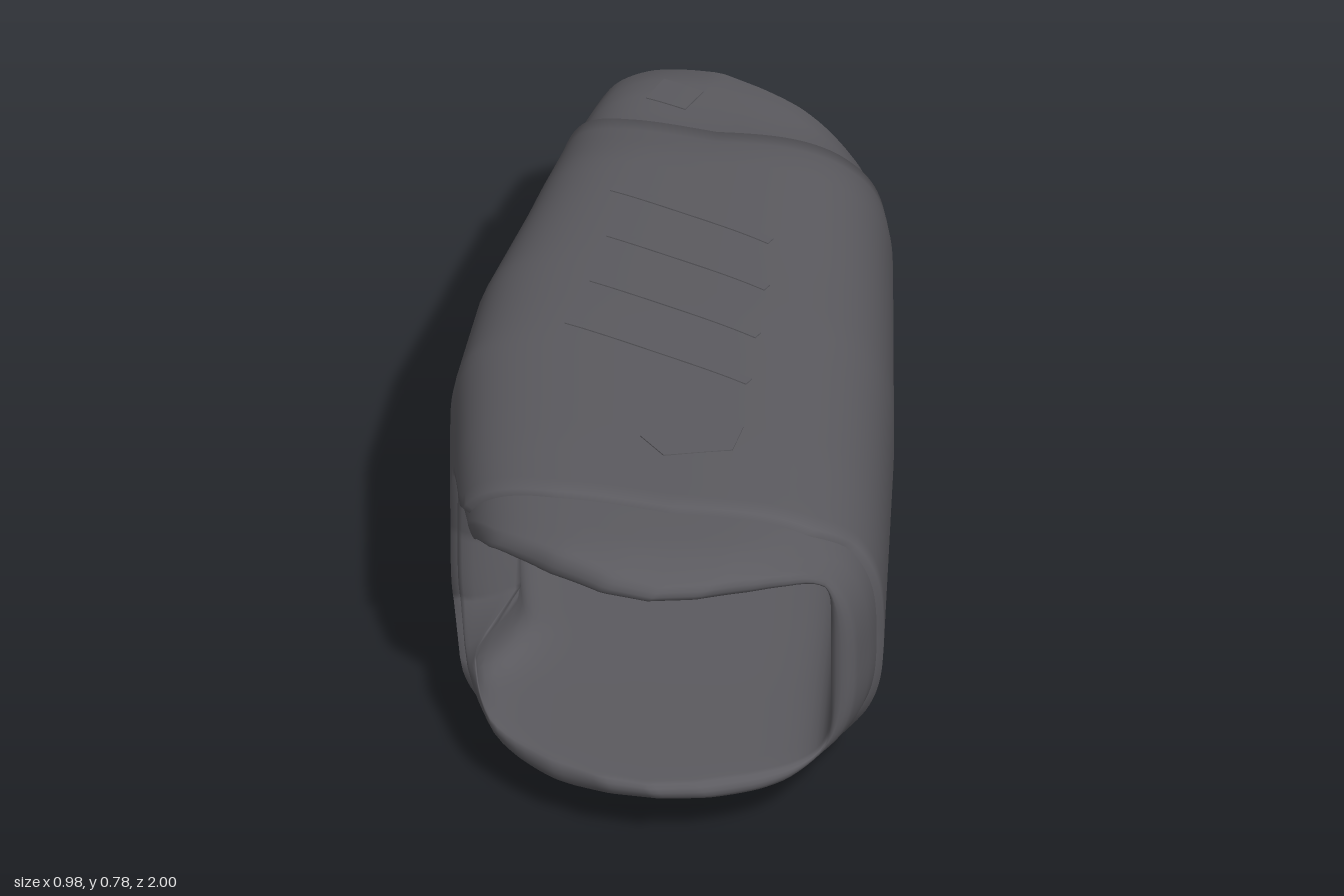
import * as THREE from 'three';

// linear interpolation in a table of [key, value] pairs
function look(table, k) {
  if (k <= table[0][0]) return table[0][1];
  for (let i = 1; i < table.length; i++) {
    const [k0, v0] = table[i - 1], [k1, v1] = table[i];
    if (k <= k1) return v0 + (v1 - v0) * (k - k0) / (k1 - k0);
  }
  return table[table.length - 1][1];
}

// bounds of the shell along z
const OUTER = {
  left: [[-1, -.21], [-.85, -.265], [-.8, -.275], [-.5, -.35], [-.2, -.435], [.1, -.475], [.4, -.46], [.64, -.44], [.8, -.425], [1, -.39]],
  right: [[-1, .35], [-.8, .395], [-.7, .42], [-.62, .435], [0, .465], [.7, .475], [.76, .475], [.8, .46], [.87, .43], [1, .41]],
  top: [[-1, .655], [-.95, .68], [-.75, .69], [-.6, .715], [0, .748], [.5, .768], [.75, .772], [.9, .772], [.96, .755], [1, .74]],
  bottom: [[-1, .05], [-.9, .03], [-.6, .019], [-.3, .04], [0, .06], [.4, .085], [.8, .11], [.92, .13], [1, .16]],
};
const INNER = {
  left: [[-.9, -.2], [-.3, -.31], [.1, -.35], [.42, -.32], [.5, -.35], [.62, -.41], [1, -.4]],
  right: [[-.8, .29], [-.4, .35], [0, .39], [.87, .38], [1, .36]],
  top: [[-1, .57], [-.8, .575], [0, .645], [.8, .70], [1, .70]],
  bottom: [[-1, .14], [-.8, .14], [-.2, .15], [.6, .18], [1, .2]],
};
// where the shell and its cover end, by angle from +x (same above and below);
// the left wall is cut back in front so that the lips overhang a notch
const FRONT = [[0, .87], [40, .87], [45, .89], [52, .925], [60, .955], [75, .99], [90, 1], [105, .975], [120, .91], [128, .85], [135, .79], [140, .73], [145, .68], [150, .64], [153, .44], [180, .42]];
const BACK = [[0, -.79], [40, -.79], [45, -.805], [52, -.835], [60, -.87], [75, -.92], [90, -.965], [105, -.99], [120, -1], [135, -.965], [145, -.9], [180, -.88]];
const COVER_FRONT = [[0, .735], [40, .74], [52, .77], [90, .755], [120, .7], [140, .635], [148, .61], [152, .41], [180, .39]];
const COVER_BACK = [[0, -.72], [45, -.68], [90, -.69], [120, -.75], [135, -.79], [180, -.82]];

const power = (t) => (t > 0 ? 3 : 4.2);

function box(b, z) {
  const l = look(b.left, z), r = look(b.right, z), t = look(b.top, z), d = look(b.bottom, z);
  return { cx: (l + r) / 2, hw: (r - l) / 2, cy: (t + d) / 2, hh: (t - d) / 2 };
}

// point of a rounded cross-section at angle a
function section(bounds, a, z, grow, n) {
  const { cx, hw, cy, hh } = box(bounds, z);
  const c = Math.cos(a), s = Math.sin(a), e = n || power(c);
  const r = Math.pow(Math.abs(c) ** e + Math.abs(s) ** e, -1 / e);
  return new THREE.Vector3(cx + (hw + grow) * r * c, cy + (hh + grow) * r * s, z);
}

// grid of points: rings around z, stepped along a path
function grid(around, along, closed, pointAt) {
  const pos = [], index = [];
  for (let j = 0; j < along; j++)
    for (let i = 0; i < around; i++) pos.push(...pointAt((i / around) * Math.PI * 2, j).toArray());
  for (let j = 0; j < (closed ? along : along - 1); j++)
    for (let i = 0; i < around; i++) {
      const i2 = (i + 1) % around, j2 = (j + 1) % along;
      const a = j * around + i, b = j * around + i2, c = j2 * around + i2, d = j2 * around + i;
      index.push(a, b, c, a, c, d);
    }
  const g = new THREE.BufferGeometry();
  g.setAttribute('position', new THREE.Float32BufferAttribute(pos, 3));
  g.setIndex(index);
  g.computeVertexNormals();
  return g;
}

const degrees = (a) => {
  const d = THREE.MathUtils.radToDeg(a);
  return d > 180 ? 360 - d : d;
};

// hollow shell with rounded rims at both open ends
function shellGeometry() {
  const N = 32, R = 6, rim = .022, path = [];
  for (let k = 0; k <= N; k++) path.push([0, k / N, 0]);
  for (let k = 1; k < R; k++) path.push([(1 - Math.cos(k / R * Math.PI)) / 2, 1, Math.sin(k / R * Math.PI)]);
  for (let k = N; k >= 0; k--) path.push([1, k / N, 0]);
  for (let k = 1; k < R; k++) path.push([(1 + Math.cos(k / R * Math.PI)) / 2, 0, -Math.sin(k / R * Math.PI)]);
  return grid(160, path.length, true, (a, j) => {
    const [s, v, bulge] = path[j], d = degrees(a);
    const z = THREE.MathUtils.lerp(look(BACK, d) + rim, look(FRONT, d) - rim, v) + bulge * rim;
    return section(OUTER, a, z, 0).lerp(section(INNER, a, z, 0, 8), s);
  });
}

// raised cover around the middle, its ends tucked into the shell
const PROUD = .015;
function coverGeometry() {
  const N = 32;
  return grid(160, N + 3, false, (a, j) => {
    const d = degrees(a), v = THREE.MathUtils.clamp((j - 1) / N, 0, 1);
    const end = j === 0 ? -.008 : j === N + 2 ? .008 : 0;
    const z = THREE.MathUtils.lerp(look(COVER_BACK, d), look(COVER_FRONT, d), v) + end;
    return section(OUTER, a, z, end ? -.01 : PROUD);
  });
}

// height of the outside at x, z on the top (side 1) or underside (side -1)
function surfaceY(x, z, side, grow) {
  const { cx, hw, cy, hh } = box(OUTER, z);
  const t = (x - cx) / (hw + grow), n = power(t);
  return cy + side * (hh + grow) * Math.pow(Math.max(0, 1 - Math.abs(t) ** n), 1 / n);
}

// lay a flat geometry (local y = height) on the outside
function drape(g, x, z, turn, side, grow) {
  g.rotateY(turn).translate(x, 0, z);
  const p = g.attributes.position;
  for (let i = 0; i < p.count; i++)
    p.setY(i, p.getY(i) + surfaceY(p.getX(i), p.getZ(i), side, grow));
  g.computeVertexNormals();
  return g;
}

export function createModel() {
  const model = new THREE.Group();
  const charcoal = new THREE.MeshStandardMaterial({ color: 0x5c5b60 });
  charcoal.name = 'charcoal';
  const add = (name, geometry, parent = model) => {
    const mesh = new THREE.Mesh(geometry, charcoal);
    mesh.name = name;
    parent.add(mesh);
  };

  add('hollowShell', shellGeometry());
  add('cover', coverGeometry());

  for (const side of [1, -1]) {
    const details = new THREE.Group();
    details.name = side > 0 ? 'topDetails' : 'undersideDetails';
    model.add(details);

    // slanting grip ridges
    for (const [x, z, length] of [[.02, -.36, .4], [.02, -.18, .4], [0, 0, .42], [-.03, .17, .46]])
      add('gripRidge', drape(new THREE.BoxGeometry(length, .006, .025, 10, 1, 1), x, z, -.48, side, PROUD), details);

    // five-sided pad near the front
    const pad = new THREE.Shape([[.02, .35], [-.055, .5], [0, .57], [.15, .54], [.17, .45]].map(([x, z]) => new THREE.Vector2(x, -z)));
    const padGeometry = new THREE.ExtrudeGeometry(pad, { depth: .006, bevelEnabled: false });
    padGeometry.rotateX(-Math.PI / 2).translate(0, -.003, 0);
    add('frontPad', drape(padGeometry, 0, 0, 0, side, PROUD), details);

    // small square pad on the rear lip
    add('rearPad', drape(new THREE.BoxGeometry(.1, .006, .08, 3, 1, 3), -.04, -.86, -.48, side, 0), details);
  }
  return model;
}
